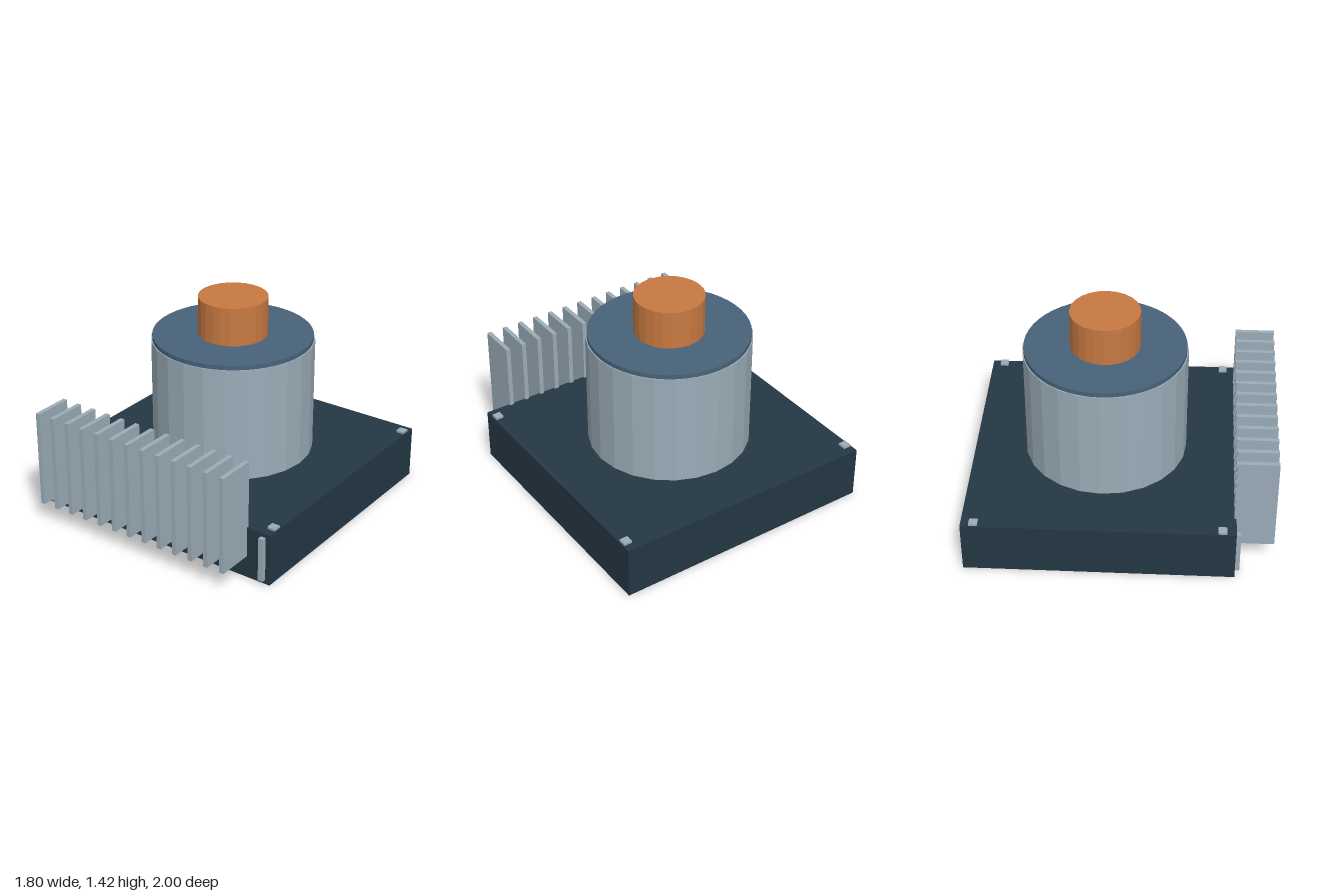
import * as THREE from 'three';

const material = (name, color) => {
  const m = new THREE.MeshStandardMaterial({ color, flatShading: true });
  m.name = name;
  return m;
};

export function createModel() {
  const group = new THREE.Group();
  const darkSlate = material('dark slate', 0x243744);
  const steel = material('light steel', 0x9aacb7);
  const blueGrey = material('blue grey', 0x48627a);
  const copper = material('copper', 0xc87941);

  const add = (name, geometry, mat, x, y, z) => {
    const mesh = new THREE.Mesh(geometry, mat);
    mesh.name = name;
    mesh.position.set(x, y, z);
    group.add(mesh);
  };
  // box given by its centre x, and its y and z ranges
  const box = (name, mat, x, w, y0, y1, z0, z1) =>
    add(name, new THREE.BoxGeometry(w, y1 - y0, z1 - z0), mat, x, (y0 + y1) / 2, (z0 + z1) / 2);
  // upright drum on the shared axis
  const axisZ = -0.125;
  const drum = (name, mat, r, y0, y1, sides) =>
    add(name, new THREE.CylinderGeometry(r, r, y1 - y0, sides), mat, 0, (y0 + y1) / 2, axisZ);

  // base slab
  box('base', darkSlate, 0, 1.8, 0, 0.355, -1, 0.75);

  // stacked drums
  drum('drumBody', steel, 0.54, 0.35, 1.13, 24);
  drum('drumCap', blueGrey, 0.53, 1.12, 1.16, 48);
  drum('hub', copper, 0.23, 1.155, 1.42, 24);

  // row of cooling fins along the front
  for (let i = 0; i < 13; i++) {
    box('fin', steel, -0.725 + i * 0.12, 0.03, 0.15, 0.805, 0.735, 1);
  }

  // corner pads and front strips, mirrored
  for (const side of [-1, 1]) {
    box('frontCornerPad', steel, side * 0.865, 0.055, 0.34, 0.37, 0.635, 0.69);
    box('backCornerPad', steel, side * 0.865, 0.055, 0.34, 0.37, -0.945, -0.89);
    box('frontStrip', steel, side * 0.85, 0.035, 0.03, 0.33, 0.74, 0.78);
  }

  return group;
}
